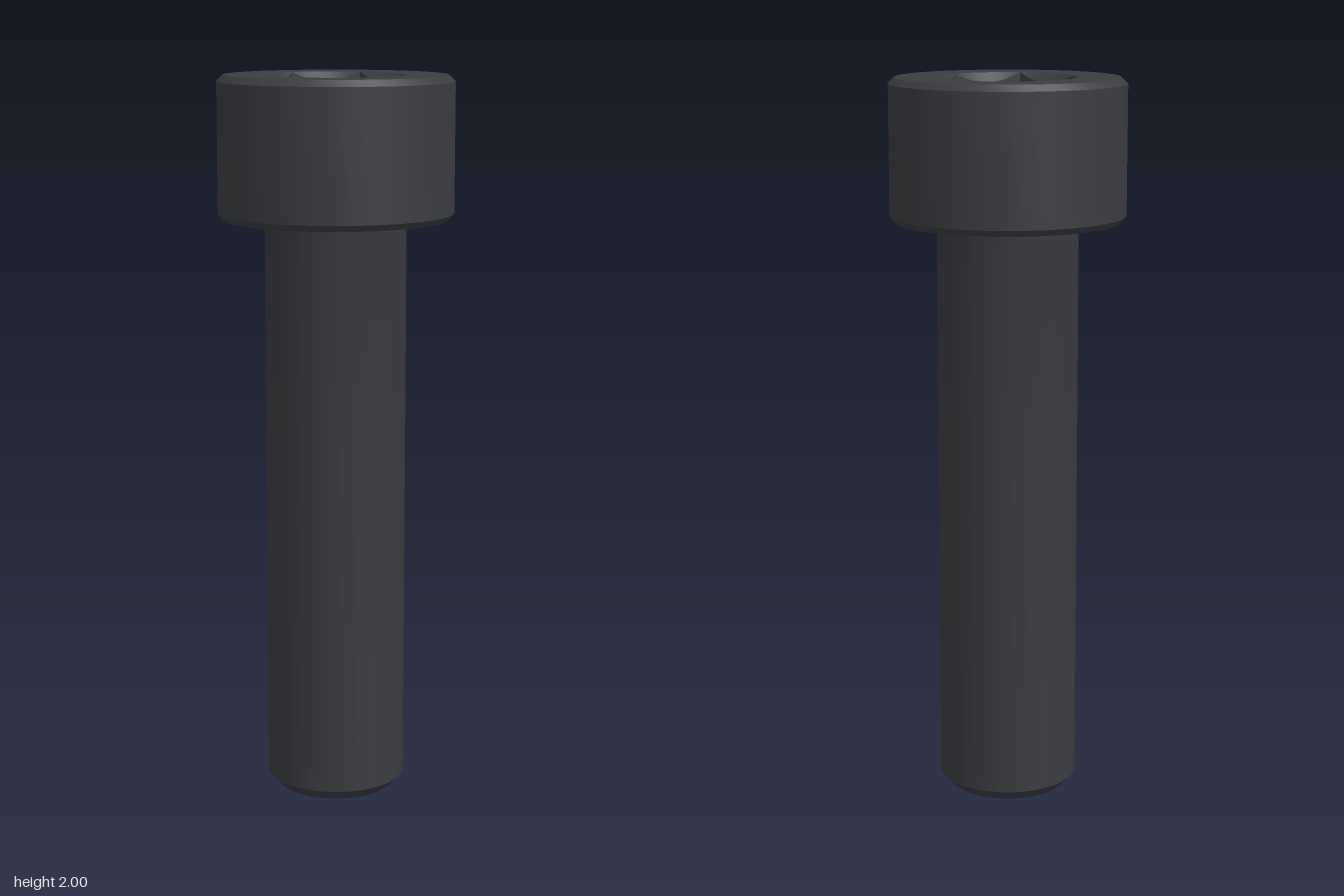
import * as THREE from 'three';
import { toCreasedNormals } from 'three/addons/utils/BufferGeometryUtils.js';

const SIDES = 32, CREASE = 0.6;
const SHANK_R = 0.193, HEAD_R = 0.322, RIM_R = 0.305;
const HEAD_Y = 1.613, TOP_Y = 2;
const FLAT = 0.165, SOCKET_R = FLAT / Math.cos(Math.PI / 6), FLOOR_Y = 1.807;
const STEPS = 96;

const lathe = (pts) =>
  toCreasedNormals(new THREE.LatheGeometry(pts.map(([r, y]) => new THREE.Vector2(r, y)), SIDES), CREASE);

// Hexagonal wall under a conical countersink that meets it in scalloped arcs
function socketGeometry() {
  const pos = [], index = [];
  for (let i = 0; i <= STEPS; i++) {
    const a = (i / STEPS) * Math.PI * 2;
    const sector = Math.PI / 3;
    const r = FLAT / Math.cos((a % sector) - sector / 2);
    const edgeY = TOP_Y - (SOCKET_R - r);
    const c = Math.cos(a), s = Math.sin(a);
    pos.push(c * SOCKET_R, TOP_Y, s * SOCKET_R, c * r, edgeY, s * r, c * r, FLOOR_Y, s * r);
    if (i === STEPS) break;
    for (let k = 0; k < 2; k++) {
      const p = i * 3 + k;
      index.push(p, p + 3, p + 1, p + 1, p + 3, p + 4);
    }
  }
  const g = new THREE.BufferGeometry();
  g.setAttribute('position', new THREE.Float32BufferAttribute(pos, 3));
  g.setIndex(index);
  return toCreasedNormals(g, CREASE);
}

export function createModel() {
  const group = new THREE.Group();
  const steel = new THREE.MeshStandardMaterial({ color: 0x3a3c40 });
  const inner = new THREE.MeshStandardMaterial({ color: 0x3a3c40, side: THREE.DoubleSide });
  const add = (name, geometry, material = steel) => {
    const mesh = new THREE.Mesh(geometry, material);
    mesh.name = name;
    group.add(mesh);
  };

  // Shank with chamfered tip and a small fillet under the head
  const f = 0.016;
  const shank = [[0, 0], [0.164, 0], [SHANK_R, 0.031]];
  for (let i = 0; i <= 4; i++) {
    const a = Math.PI - (i / 4) * Math.PI / 2;
    shank.push([SHANK_R + f + f * Math.cos(a), HEAD_Y - f + f * Math.sin(a)]);
  }
  add('shank', lathe(shank));

  // Head sides with chamfers on both edges
  add('head', lathe([
    [SHANK_R + f, HEAD_Y], [0.308, HEAD_Y], [HEAD_R, HEAD_Y + 0.017],
    [HEAD_R, TOP_Y - 0.017], [RIM_R, TOP_Y],
  ]));

  // Flat top ring around the socket
  const circle = (r, n) => Array.from({ length: n }, (_, i) => {
    const a = (i / n) * Math.PI * 2;
    return new THREE.Vector2(r * Math.cos(a), r * Math.sin(a));
  });
  const ring = new THREE.Shape(circle(RIM_R, SIDES));
  ring.holes.push(new THREE.Path(circle(SOCKET_R, STEPS)));
  add('headTop', new THREE.ShapeGeometry(ring).rotateX(-Math.PI / 2).translate(0, TOP_Y, 0));

  // Hex socket and its floor
  add('socketWall', socketGeometry(), inner);
  add('socketFloor', new THREE.CircleGeometry(SOCKET_R, 6).rotateX(-Math.PI / 2).translate(0, FLOOR_Y, 0));

  return group;
}
